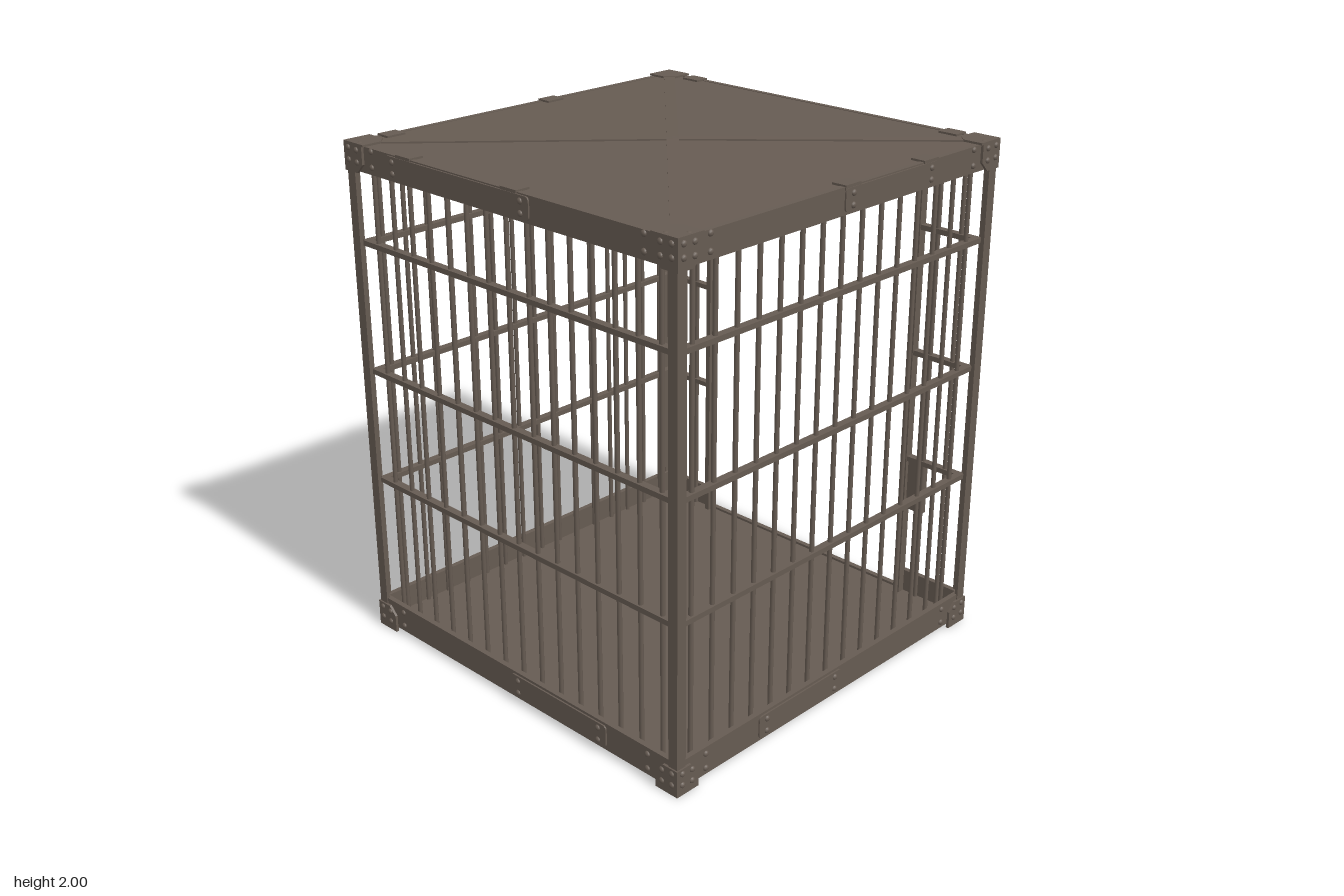
import * as THREE from 'three';

export function createModel() {
  const iron = new THREE.MeshStandardMaterial({ color: 0x665b52 });
  iron.name = 'weathered iron';
  const model = new THREE.Group();
  model.name = 'cage';

  const add = (parent, name, geo, x, y, z) => {
    const m = new THREE.Mesh(geo, iron);
    m.name = name;
    m.position.set(x, y, z);
    parent.add(m);
    return m;
  };
  // Box given by its limits on each axis
  const box = (parent, name, x0, x1, y0, y1, z0, z1) =>
    add(parent, name, new THREE.BoxGeometry(x1 - x0, y1 - y0, z1 - z0),
      (x0 + x1) / 2, (y0 + y1) / 2, (z0 + z1) / 2);

  const rivetGeo = new THREE.SphereGeometry(0.012, 10, 4, 0, Math.PI * 2, 0, Math.PI / 2);
  rivetGeo.scale(1, 0.75, 1);
  rivetGeo.rotateX(Math.PI / 2);
  const rivet = (parent, x, y, z = 0.827) => add(parent, 'rivet', rivetGeo, x, y, z);

  // Square plate with one corner cut off, from the origin to (s, s)
  const plateGeo = (s, cut, depth) => {
    const p = new THREE.Shape();
    p.moveTo(0, 0);
    p.lineTo(s, 0);
    p.lineTo(s, s - cut);
    p.lineTo(s - cut, s);
    p.lineTo(0, s);
    return new THREE.ExtrudeGeometry(p, { depth, bevelEnabled: false });
  };
  const bracketGeo = plateGeo(0.105, 0.035, 0.012);
  const gussetGeo = plateGeo(0.115, 0.035, 0.008);
  const barGeo = new THREE.CylinderGeometry(0.009, 0.009, 1.9, 8);
  const railHeights = [0.645, 1.10, 1.61];

  // Riveted patch over a beam; corners rounded on the upper one
  const patch = (wall, x0, x1, y0, y1) => {
    const r = 0.018;
    const s = new THREE.Shape();
    s.moveTo(x0 + r, y0);
    s.lineTo(x1 - r, y0);
    s.quadraticCurveTo(x1, y0, x1, y0 + r);
    s.lineTo(x1, y1 - r);
    s.quadraticCurveTo(x1, y1, x1 - r, y1);
    s.lineTo(x0 + r, y1);
    s.quadraticCurveTo(x0, y1, x0, y1 - r);
    s.lineTo(x0, y0 + r);
    s.quadraticCurveTo(x0, y0, x0 + r, y0);
    add(wall, 'repairPatch', new THREE.ExtrudeGeometry(s, { depth: 0.007, bevelEnabled: false }), 0, 0, 0.825);
    for (const x of [x0 + 0.04, x1 - 0.04])
      for (const y of [y0 + 0.02, y1 - 0.02]) rivet(wall, x, y, 0.831);
  };

  // One wall, built facing +z and turned into place
  const makeWall = (name, angle, door, top, bottom) => {
    const wall = new THREE.Group();
    wall.name = name;
    wall.rotation.y = angle;
    model.add(wall);

    box(wall, 'topBeam', -0.81, 0.81, 1.89, 1.987, 0.805, 0.826);
    if (door) {
      box(wall, 'doorSill', -0.54, 0.54, 0.018, 0.045, 0.805, 0.826);
      for (const s of [-1, 1]) {
        box(wall, 'bottomBeam', s < 0 ? -0.81 : 0.54, s < 0 ? -0.54 : 0.81, 0.018, 0.128, 0.805, 0.826);
        box(wall, 'doorPost', s * 0.54 - 0.011, s * 0.54 + 0.011, 0.03, 1.9, 0.775, 0.81);
      }
      box(wall, 'lockPlate', -0.63, -0.54, 0.42, 0.65, 0.79, 0.812);
    } else {
      box(wall, 'bottomBeam', -0.81, 0.81, 0.018, 0.128, 0.805, 0.826);
    }

    for (let i = -7; i <= 7; i++) {
      if (door && Math.abs(i) < 6) continue;
      add(wall, 'bar', barGeo, i * 0.1037, 0.99, 0.792);
    }
    for (const y of railHeights) {
      const spans = door ? [[-0.8, -0.53], [0.53, 0.8]] : [[-0.8, 0.8]];
      for (const [a, b] of spans) box(wall, 'rail', a, b, y - 0.01, y + 0.01, 0.778, 0.808);
    }

    // Corner post leaves and riveted brackets
    for (const s of [-1, 1]) {
      box(wall, 'cornerPost', s < 0 ? -0.83 : 0.788, s < 0 ? -0.788 : 0.83, 0.02, 1.98, 0.817, 0.83);
      for (const up of [0, 1]) {
        const b = add(wall, 'cornerBracket', bracketGeo, s * 0.836, up ? 1.99 : 0, 0.824);
        // Half turns place the plate without reversing its faces
        if (s > 0 && up) b.rotation.z = Math.PI;
        if (s < 0 && up) { b.rotation.x = Math.PI; b.position.z = 0.836; }
        if (s > 0 && !up) { b.rotation.y = Math.PI; b.position.z = 0.836; }
        for (const dy of [0, 0.045]) {
          rivet(wall, s * 0.81, (up ? 1.928 : 0.042) + dy, 0.835);
          rivet(wall, s * 0.762, (up ? 1.925 : 0.038) + dy, 0.835);
          rivet(wall, s * 0.685, (up ? 1.918 : 0.045) + dy * 1.3);
        }
      }
    }
    if (top) patch(wall, top[0], top[1], 1.9, 1.982);
    if (bottom) patch(wall, bottom[0], bottom[1], 0.028, 0.118);
  };
  makeWall('frontWall', 0, false, [-0.04, 0.47], [-0.41, 0.05]);
  makeWall('rightWall', Math.PI / 2, true, null, null);
  makeWall('backWall', Math.PI, false, [-0.34, 0.1], [-0.2, 0.25]);
  makeWall('leftWall', -Math.PI / 2, false, [-0.6, 0.16], [-0.03, 0.48]);

  // Floor and shallow pyramid roof
  box(model, 'floor', -0.82, 0.82, 0.015, 0.035, -0.82, 0.82);
  box(model, 'roofPlate', -0.825, 0.825, 1.97, 1.985, -0.825, 0.825);
  const crown = new THREE.ConeGeometry(0.815 * Math.SQRT2, 0.009, 4, 1, true).toNonIndexed();
  crown.rotateY(Math.PI / 4);
  crown.computeVertexNormals();
  add(model, 'roofCrown', crown, 0, 1.9895, 0);

  // Diagonal roof straps and corner gussets
  for (let k = 0; k < 4; k++) {
    const arm = new THREE.Group();
    arm.name = 'roofCorner';
    arm.rotation.y = k * Math.PI / 2;
    model.add(arm);
    const strap = add(arm, 'roofStrap', new THREE.BoxGeometry(1.1, 0.006, 0.045), 0.389, 1.9926, 0.389);
    strap.rotation.set(0, -Math.PI / 4, -0.008, 'YXZ');
    const gusset = add(arm, 'roofGusset', gussetGeo, 0.836, 1.987, 0.836);
    gusset.rotation.set(-Math.PI / 2, 0, Math.PI / 2);
    for (const [x, z] of [[0.815, 0.765], [0.765, 0.815]]) {
      const r = add(arm, 'gussetRivet', rivetGeo, x, 1.99, z);
      r.rotation.x = -Math.PI / 2;
      r.scale.z = 0.8;
    }
  }

  // Clips folded over the roof edge
  const clips = [[0.13, -0.8], [0.0, 0.8], [0.43, 0.8], [-0.8, -0.5], [-0.8, 0.06], [0.8, -0.65], [0.8, 0.65], [-0.65, -0.8]];
  for (const [x, z] of clips) {
    const alongX = Math.abs(z) === 0.8;
    const w = alongX ? 0.04 : 0.03, d = alongX ? 0.03 : 0.04;
    box(model, 'roofClip', x - w, x + w, 1.975, 1.993, z - d, z + d);
  }
  return model;
}
